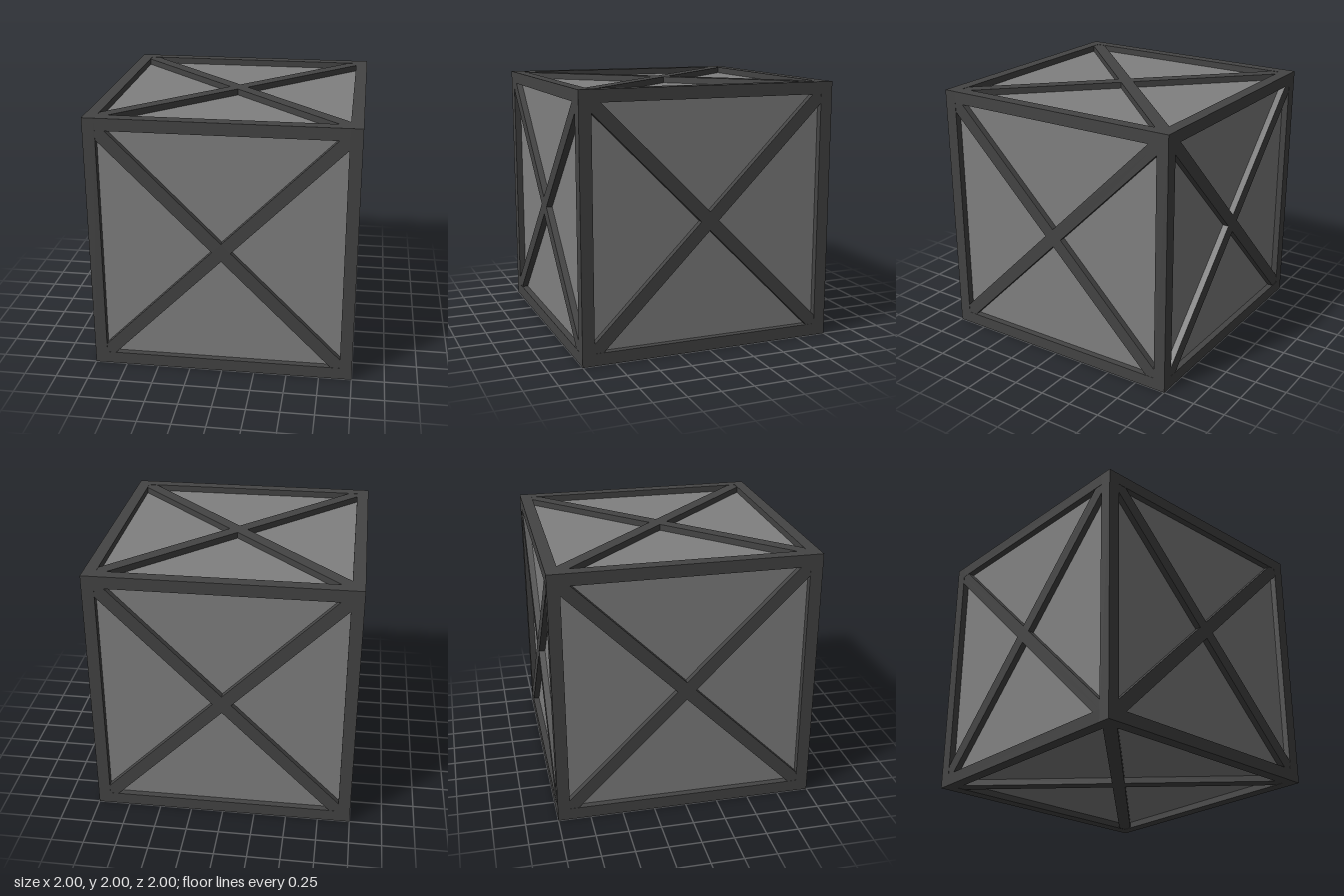
import * as THREE from 'three';

const HALF = 1;        // half the crate's side
const BAR = 0.093;     // frame bar thickness
const DEPTH = 0.05;    // how far the panels sit back
const OPEN = HALF - BAR;
const NOTCH = 0.07;    // half brace width measured along an edge

export function createModel() {
  const frameMat = new THREE.MeshStandardMaterial({ name: 'darkGrey', color: 0x444444 });
  const panelMat = new THREE.MeshStandardMaterial({ name: 'midGrey', color: 0x808080 });

  const crate = new THREE.Group();
  crate.name = 'crate';

  const add = (name, geometry, material, parent) => {
    const mesh = new THREE.Mesh(geometry, material);
    mesh.name = name;
    parent.add(mesh);
    return mesh;
  };

  // Recessed panels: one inner box
  const core = 2 * (HALF - DEPTH);
  add('panels', new THREE.BoxGeometry(core, core, core), panelMat, crate);

  // Twelve frame bars; the uprights run full height, the rest fit between
  const frame = new THREE.Group();
  frame.name = 'frame';
  crate.add(frame);
  const c = HALF - BAR / 2;
  const post = new THREE.BoxGeometry(BAR, 2 * HALF, BAR);
  const railX = new THREE.BoxGeometry(2 * OPEN, BAR, BAR);
  const railZ = new THREE.BoxGeometry(BAR, BAR, 2 * OPEN);
  for (const a of [-c, c]) {
    for (const b of [-c, c]) {
      add('cornerPost', post, frameMat, frame).position.set(a, 0, b);
      add('crossRail', railX, frameMat, frame).position.set(0, a, b);
      add('sideRail', railZ, frameMat, frame).position.set(a, b, 0);
    }
  }

  // X-shaped brace, one outline whose ends fill the corners of the opening
  const outline = [];
  for (let i = 0; i < 4; i++) {
    const turn = (x, y) => outline.push(
      new THREE.Vector2(x, y).rotateAround(new THREE.Vector2(), i * Math.PI / 2));
    turn(OPEN, OPEN - NOTCH);
    turn(OPEN, OPEN);
    turn(OPEN - NOTCH, OPEN);
    turn(0, NOTCH);
  }
  const brace = new THREE.ExtrudeGeometry(new THREE.Shape(outline),
    { depth: DEPTH + 0.008, bevelEnabled: false });
  brace.translate(0, 0, HALF - DEPTH - 0.01);

  // The same brace on all six sides
  const sides = {
    front: [0, 0], left: [0, 1], back: [0, 2], right: [0, 3], top: [-1, 0], bottom: [1, 0],
  };
  for (const [side, [rx, ry]] of Object.entries(sides)) {
    add(side + 'Brace', brace, frameMat, crate)
      .rotation.set(rx * Math.PI / 2, ry * Math.PI / 2, 0);
  }

  crate.position.y = HALF;
  const model = new THREE.Group();
  model.name = 'bracedCrate';
  model.add(crate);
  return model;
}
